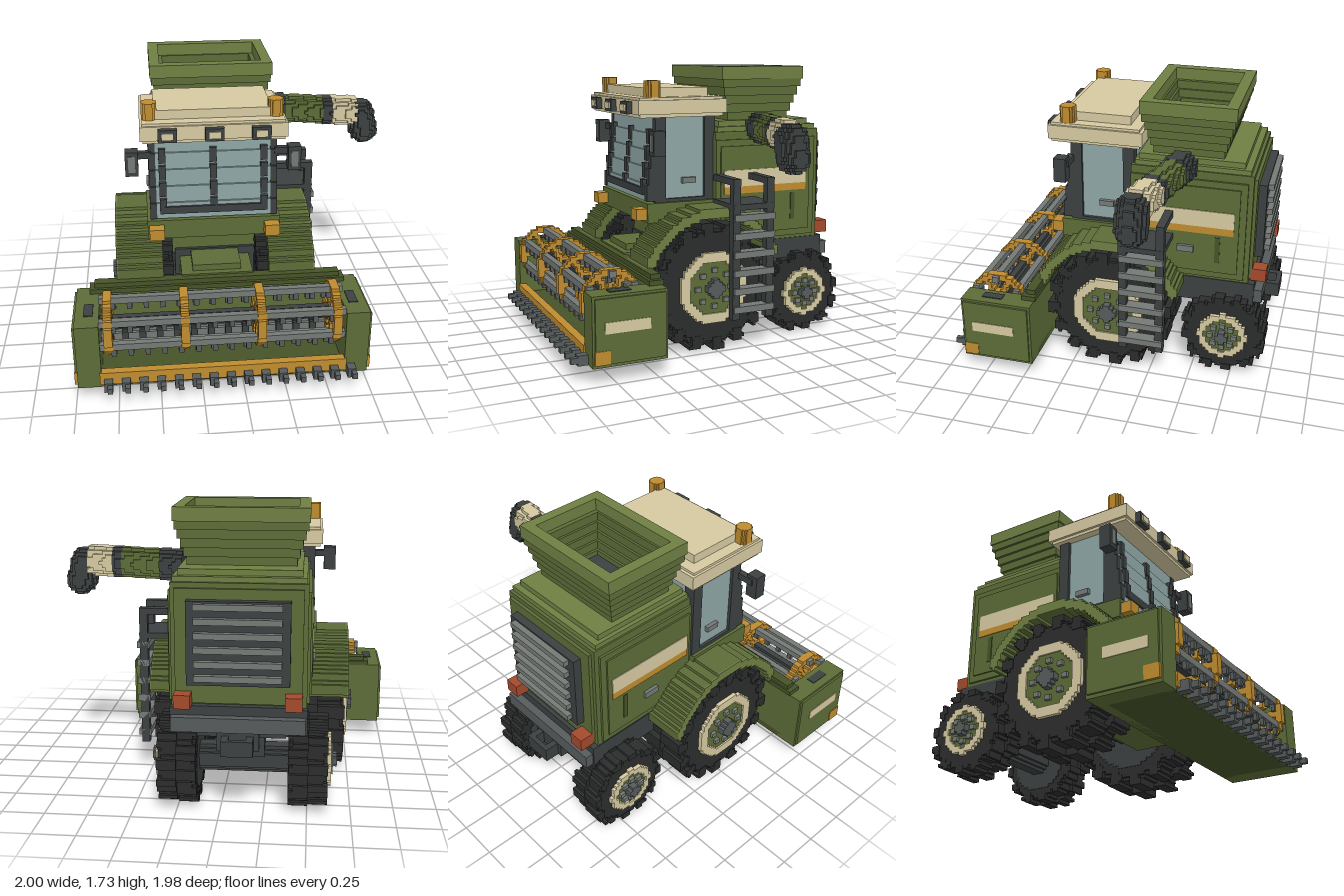
import * as THREE from 'three';
import { mergeGeometries } from 'three/addons/utils/BufferGeometryUtils.js';

const V = 0.02;      // voxel size
const GREEN = 0x5c6c37, LIGHT = 0x6f7f43, DEEP = 0x465328, DARK = 0x3c4040, TYRE = 0x2b2d2c,
  GREY = 0x757a76, MID = 0x565b5b, CREAM = 0xd6caa2, GOLD = 0xbf8c2f, RED = 0xa34a2c, GLASS = 0x8fa6a6;

const cuboid = (x0, x1, y0, y1, z0, z1) =>
  new THREE.BoxGeometry(Math.abs(x1 - x0), y1 - y0, Math.abs(z1 - z0))
    .translate((x0 + x1) / 2, (y0 + y1) / 2, (z0 + z1) / 2);

export function createModel() {
  const model = new THREE.Group();
  const materials = {};
  let centre = -0.13;  // x of the symmetry plane of the assembly being built
  const add = (name, color, geos) => {
    materials[color] ??= new THREE.MeshStandardMaterial({ color, flatShading: true });
    const mesh = new THREE.Mesh(mergeGeometries([geos].flat()), materials[color]);
    mesh.name = name;
    model.add(mesh);
  };
  // box with u measured from the symmetry plane
  const ub = (u0, u1, ...r) => cuboid(centre + u0, centre + u1, ...r);
  const box = (name, color, ...r) => add(name, color, ub(...r));
  const pair = (name, color, u0, u1, ...r) => add(name, color, [ub(u0, u1, ...r), ub(-u1, -u0, ...r)]);

  // stepped disc around the x axis: rows of merged voxels where test(radius, angle) holds
  const disc = (u0, u1, cy, cz, R, test = () => true) => {
    const out = [], n = Math.ceil(R / V);
    for (let j = -n; j < n; j++) {
      let start = null;
      for (let k = -n; k <= n; k++) {
        const y = (j + 0.5) * V, z = (k + 0.5) * V;
        const on = k < n && Math.hypot(y, z) < R && test(Math.hypot(y, z), Math.atan2(y, z));
        if (on && start === null) start = k;
        if (!on && start !== null) {
          out.push(ub(u0, u1, cy + j * V, cy + (j + 1) * V, cz + start * V, cz + k * V));
          start = null;
        }
      }
    }
    return out;
  };
  // free voxel solid, merged into runs along x
  const solid = (x0, x1, y0, y1, z0, z1, test) => {
    const out = [];
    for (let y = y0; y < y1; y += V) for (let z = z0; z < z1; z += V) {
      let start = null;
      for (let x = x0; x < x1 + V; x += V) {
        const on = x < x1 && test(x + V / 2, y + V / 2, z + V / 2);
        if (on && start === null) start = x;
        if (!on && start !== null) { out.push(cuboid(start, x, y, y + V, z, z + V)); start = null; }
      }
    }
    return out;
  };

  // wheels with staggered lugs
  const wheel = (name, s, u0, u1, cy, cz, R, lugs) => {
    const rim = R * 0.565, m = (u0 + u1) / 2;
    const d = (color, part, a, b, r, test) => add(name + part, color, disc(s * a, s * b, cy, cz, r, test));
    const lug = phase => (r, a) => r > R * 0.8 && ((a / (2 * Math.PI) + 1) * lugs + phase) % 1 < 0.5;
    d(TYRE, 'Tyre', u0 + 0.02, u1 - 0.02, R * 0.91, r => r > rim - V);
    d(TYRE, 'TyreWall', u0, u1, R * 0.86, r => r > rim - V);
    d(TYRE, 'LugsInner', u0 - 0.005, m, R, lug(0));
    d(TYRE, 'LugsOuter', m, u1 + 0.005, R, lug(0.5));
    d(DARK, 'Back', u0 - 0.005, u1 - 0.04, R * 0.7);
    d(CREAM, 'Rim', u1 - 0.04, u1 + 0.025, rim, r => r > R * 0.42);
    d(GREEN, 'Plate', u1 - 0.04, u1 + 0.015, R * 0.43);
    d(MID, 'Hub', u1, u1 + 0.06, R * 0.14);
    const bolts = [];
    for (let i = 0; i < 8; i++) {
      const a = i * Math.PI / 4, y = cy + Math.sin(a) * R * 0.28, z = cz + Math.cos(a) * R * 0.28;
      bolts.push(ub(s * u1, s * (u1 + 0.035), y - 0.015, y + 0.015, z - 0.018, z + 0.018));
    }
    add(name + 'Bolts', GREY, bolts);
  };
  for (const s of [1, -1]) {
    wheel('frontWheel', s, 0.265, 0.585, 0.4, 0.02, 0.4, 16);
    wheel('rearWheel', s, 0.265, 0.48, 0.27, -0.69, 0.27, 12);
    add('fender', GREEN, disc(s * 0.325, s * 0.6, 0.41, 0.02, 0.48,
      (r, a) => r > 0.42 && a > 0.28 && a < 2.8));
    add('fenderTrim', LIGHT, disc(s * 0.6, s * 0.61, 0.41, 0.02, 0.48,
      (r, a) => r > 0.42 && a > 0.28 && a < 2.8));
  }
  add('frontAxle', DARK, disc(-0.3, 0.3, 0.4, 0.02, 0.13));
  add('rearAxle', DARK, disc(-0.3, 0.3, 0.27, -0.69, 0.08));
  box('rearAxleMount', DARK, -0.12, 0.12, 0.3, 0.48, -0.78, -0.6);

  // chassis and rear
  centre = -0.105;
  box('chassis', DARK, -0.27, 0.27, 0.45, 0.63, -0.86, 0.22);
  box('chassisRear', DARK, -0.39, 0.39, 0.46, 0.62, -0.86, -0.38);
  box('rearBumper', MID, -0.38, 0.38, 0.49, 0.575, -0.91, -0.82);
  pair('hitchArm', DARK, 0.05, 0.09, 0.38, 0.47, -0.99, -0.86);
  box('hitchBar', DARK, -0.09, 0.09, 0.38, 0.47, -0.99, -0.96);
  box('hitchMount', DARK, -0.12, 0.12, 0.38, 0.5, -0.9, -0.8);
  pair('rearLamp', RED, 0.265, 0.36, 0.63, 0.71, -0.925, -0.83);

  // body with stepped edges
  add('body', GREEN, [
    ub(-0.385, 0.385, 0.6, 1.33, -0.82, -0.08), ub(-0.4, 0.4, 0.64, 1.28, -0.79, -0.08),
    ub(-0.36, 0.36, 0.64, 1.3, -0.84, -0.1)]);
  add('bodyTop', LIGHT, [ub(-0.375, 0.375, 1.33, 1.36, -0.8, -0.1), ub(-0.35, 0.35, 1.36, 1.395, -0.76, -0.12)]);
  pair('sidePanel', GREEN, 0.4, 0.41, 0.68, 1.24, -0.75, -0.11);
  pair('stripe', CREAM, 0.4, 0.415, 0.985, 1.09, -0.72, -0.13);
  pair('stripeEdge', GOLD, 0.4, 0.415, 0.94, 0.985, -0.72, -0.13);
  pair('sideSlot', DEEP, 0.4, 0.415, 0.75, 0.92, -0.64, -0.61);
  pair('sideHandle', GREY, 0.4, 0.43, 0.81, 0.85, -0.48, -0.38);
  box('grille', DARK, -0.29, 0.29, 0.76, 1.24, -0.89, -0.83);
  const slats = [];
  for (let i = 0; i < 6; i++) slats.push(ub(-0.245, 0.245, 0.79 + i * 0.081, 0.825 + i * 0.081, -0.925, -0.88));
  add('grilleSlats', GREY, slats);

  // grain hopper: stacked square rings widening upwards
  const ring = (a, b, ia, ib, y0, y1, cz) => [
    ub(-a, -ia, y0, y1, cz - b, cz + b), ub(ia, a, y0, y1, cz - b, cz + b),
    ub(-ia, ia, y0, y1, cz - b, cz - ib), ub(-ia, ia, y0, y1, cz + ib, cz + b)];
  const funnel = [];
  for (let i = 0; i < 5; i++) {
    const g = i * 0.0155;
    funnel.push(...ring(0.315 + g, 0.215 + g, 0.23 + g, 0.145 + g, 1.39 + i * 0.053, 1.443 + i * 0.053, -0.415));
  }
  add('hopper', GREEN, funnel);
  add('hopperRim', LIGHT, ring(0.385, 0.288, 0.32, 0.22, 1.65, 1.73, -0.415));
  box('hopperFloor', DARK, -0.23, 0.23, 1.39, 1.41, -0.56, -0.27);

  // cab
  centre = -0.135;
  box('cabBase', GREEN, -0.405, 0.405, 0.79, 0.91, -0.09, 0.37);
  box('cabSupport', GREEN, -0.325, 0.325, 0.6, 0.8, -0.12, 0.2);
  pair('frontLamp', GOLD, 0.305, 0.395, 0.81, 0.88, 0.34, 0.44);
  box('glass', GLASS, -0.365, 0.365, 0.92, 1.44, -0.07, 0.29);
  pair('frontPost', DARK, 0.31, 0.385, 0.91, 1.43, 0.24, 0.3);
  pair('rearPost', DARK, 0.31, 0.385, 0.91, 1.43, -0.09, -0.02);
  box('cabSill', DARK, -0.385, 0.385, 0.9, 0.93, -0.09, 0.31);

  // windscreen leaning back in steps, with its frame
  const panes = [], frame = [];
  for (let i = 0; i < 5; i++) {
    const y = 0.92 + i * 0.102, z = 0.36 - i * 0.014;
    panes.push(ub(-0.345, 0.345, y, y + 0.102, 0.28, z));
    for (const u of [-0.365, 0.365]) frame.push(ub(u - 0.02, u + 0.02, y, y + 0.102, 0.28, z + 0.005));
    for (const u of [-0.305, 0, 0.305]) if (i < 4) frame.push(ub(u - 0.021, u + 0.021, y + 0.04, y + 0.13, 0.28, z + 0.012));
  }
  frame.push(ub(-0.325, 0.325, 0.955, 1, 0.28, 0.375));
  add('windscreen', GLASS, panes);
  add('windscreenFrame', DARK, frame);
  pair('doorHandle', GREY, 0.36, 0.39, 1.02, 1.055, 0.04, 0.13);
  pair('mirrorArm', DARK, 0.37, 0.49, 1.3, 1.34, 0.29, 0.33);
  pair('mirror', DARK, 0.445, 0.522, 1.21, 1.36, 0.3, 0.375);
  pair('mirrorFace', GREY, 0.463, 0.504, 1.235, 1.335, 0.37, 0.38);
  add('roof', CREAM, [ub(-0.415, 0.415, 1.43, 1.55, -0.13, 0.42), ub(-0.43, 0.43, 1.45, 1.535, -0.15, 0.435),
    ub(-0.345, 0.345, 1.55, 1.605, -0.06, 0.35)]);
  for (const u of [-0.272, 0, 0.272]) {
    box('roofLamp', DARK, u - 0.055, u + 0.055, 1.45, 1.525, 0.43, 0.47);
    box('roofLampLens', CREAM, u - 0.035, u + 0.035, 1.467, 1.508, 0.46, 0.48);
  }
  for (const u of [-0.372, 0.368]) add('beacon', GOLD, [
    ub(u - 0.045, u + 0.045, 1.55, 1.65, 0.3, 0.345), ub(u - 0.036, u + 0.036, 1.55, 1.65, 0.287, 0.358),
    ub(u - 0.022, u + 0.022, 1.55, 1.65, 0.277, 0.368)]);

  // unloading auger and drooping spout
  const tube = (x0, x1, r) => solid(x0, x1, 1.2, 1.5, -0.56, -0.12,
    (x, y, z) => Math.hypot(y - 1.35, z + 0.385 - (x - 0.3) * 0.22) < r);
  add('augerCollar', DARK, tube(0.26, 0.4, 0.092));
  add('augerTube', GREEN, tube(0.4, 0.64, 0.085));
  add('augerBand', DARK, tube(0.64, 0.7, 0.09));
  add('augerCreamBand', CREAM, tube(0.7, 0.86, 0.09));
  add('augerSpout', DARK, solid(0.8, 1, 1.14, 1.46, -0.38, -0.14, (x, y, z) => {
    const t = Math.min(1, Math.max(0, (1.34 - y) / 0.11));
    return Math.hypot(x - 0.885 - t * 0.03, y - 1.34 + t * 0.11, z + 0.252) < 0.09;
  }));

  // ladder, platform and handrails on the left side
  centre = -0.13;
  box('platform', DARK, 0.4, 0.68, 0.88, 0.915, -0.35, -0.07);
  const rails = [], rungs = [];
  for (const z of [-0.12, -0.35]) {
    rails.push(ub(0.628, 0.678, 0.2, 1.07, z, z + 0.05), ub(0.41, 0.678, 1.03, 1.07, z, z + 0.05));
  }
  for (let i = 0; i < 6; i++) rungs.push(ub(0.62, 0.695, 0.245 + i * 0.114, 0.285 + i * 0.114, -0.35, -0.075));
  add('ladderRails', DARK, rails);
  add('ladderRungs', GREY, rungs);

  // feeder house and header
  centre = -0.125;
  add('feederHouse', GREEN, [ub(-0.22, 0.22, 0.2, 0.58, 0.1, 0.46), ub(-0.15, 0.15, 0.58, 0.62, 0.14, 0.42)]);
  pair('headerEnd', GREEN, 0.72, 0.86, 0.1, 0.51, 0.44, 0.89);
  pair('headerEndPlate', GREEN, 0.86, 0.873, 0.12, 0.495, 0.455, 0.875);
  box('headerBack', GREEN, -0.74, 0.74, 0.1, 0.51, 0.44, 0.5);
  add('headerTopBeam', DEEP, [ub(-0.78, 0.78, 0.51, 0.54, 0.43, 0.52), ub(-0.75, 0.75, 0.54, 0.57, 0.44, 0.5)]);
  box('headerFloor', DEEP, -0.74, 0.74, 0.1, 0.14, 0.44, 0.88);
  pair('headerStripe', CREAM, 0.865, 0.877, 0.295, 0.36, 0.55, 0.82);
  pair('headerCorner', GOLD, 0.85, 0.877, 0.12, 0.2, 0.79, 0.88);
  pair('headerCap', DARK, 0.755, 0.81, 0.505, 0.515, 0.64, 0.77);
  box('cutterBar', GOLD, -0.73, 0.73, 0.12, 0.2, 0.85, 0.9);
  const teeth = [];
  for (let i = 0; i < 15; i++) {
    const u = -0.705 + i * 0.1026;
    teeth.push(ub(u, u + 0.05, 0.1, 0.16, 0.86, 0.95), ub(u + 0.02, u + 0.05, 0.115, 0.15, 0.95, 0.99));
  }
  add('cutterTeeth', MID, teeth);

  // feed auger with flights
  add('feedAuger', GREY, disc(-0.73, 0.73, 0.26, 0.58, 0.06));
  const flights = [];
  for (let i = 0; i < 14; i++) flights.push(...disc(-0.7 + i * 0.104, -0.66 + i * 0.104, 0.26, 0.58, 0.09, r => r > 0.05));
  add('feedAugerFlights', DARK, flights);

  // reel: gold spoked rings, bars and tines
  const ry = 0.43, rz = 0.715;
  add('reelShaft', DARK, disc(-0.74, 0.74, ry, rz, 0.04));
  for (const u of [-0.67, -0.223, 0.223, 0.67]) add('reelRing', GOLD, disc(u - 0.025, u + 0.025, ry, rz, 0.18,
    (r, a) => r > 0.145 || Math.abs(Math.sin(a * 3)) * r < 0.045));
  const bars = [], tines = [];
  for (let i = 0; i < 6; i++) {
    const a = i * Math.PI / 3 + Math.PI / 6, y = ry + Math.sin(a) * 0.155, z = rz + Math.cos(a) * 0.155;
    bars.push(ub(-0.72, 0.72, y - 0.02, y + 0.02, z - 0.02, z + 0.02));
    for (let k = 0; k < 14; k++) {
      const u = -0.64 + k * 0.0985;
      tines.push(ub(u - 0.015, u + 0.015, y - 0.065, y - 0.015, z - 0.012, z + 0.012));
    }
  }
  add('reelBars', GREY, bars);
  add('reelTines', MID, tines);

  return model;
}
